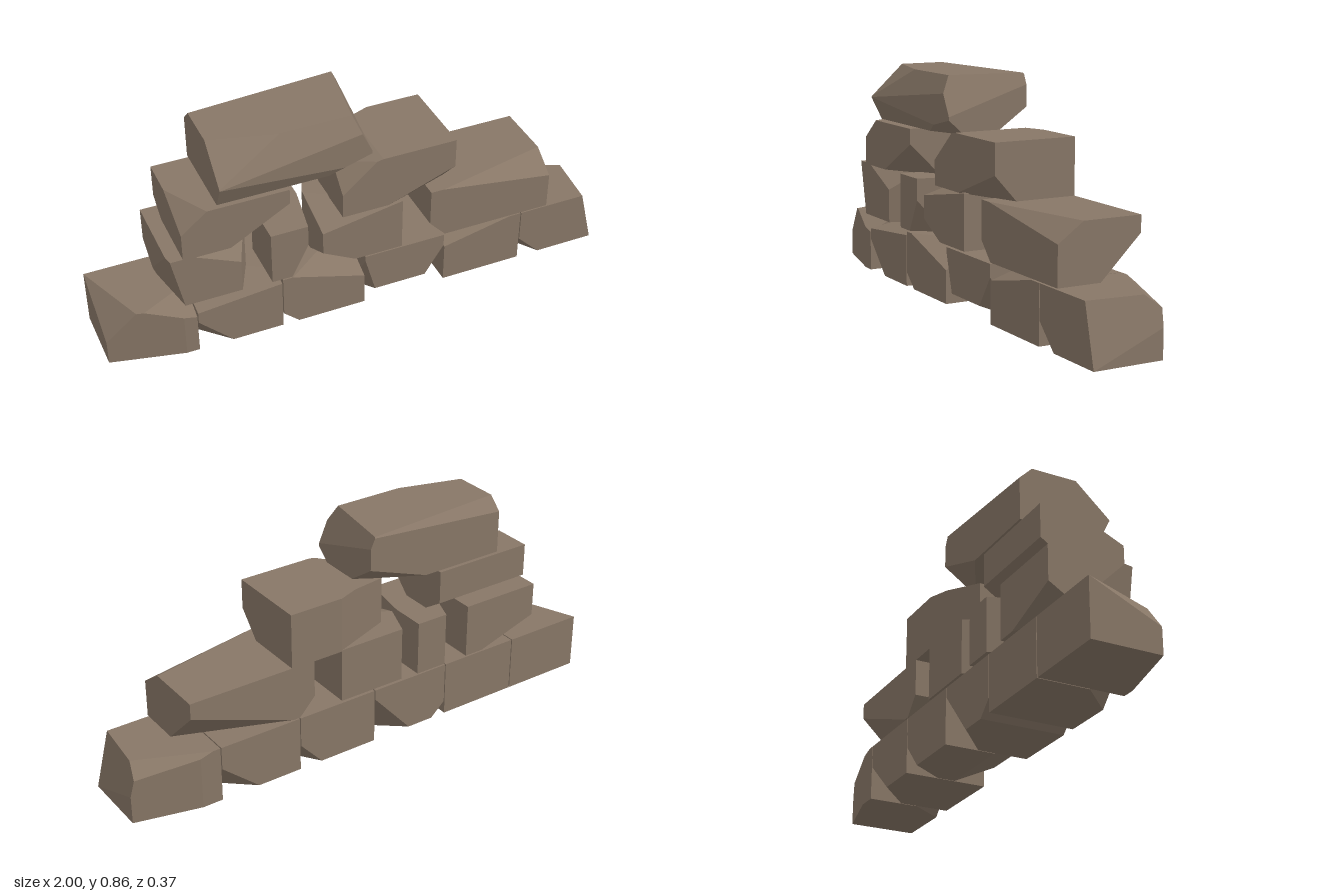
import * as THREE from 'three';
import { ConvexGeometry } from 'three/addons/geometries/ConvexGeometry.js';

const rock = new THREE.MeshStandardMaterial({ color: 0x877666 });
rock.name = 'brownRock';

// A half-space: every point p with n.p <= k
const halfSpace = (n, k) => ({ n: new THREE.Vector3(...n), k });

// Slices off a corner of a box, or an edge where a sign is '0'.
// Lengths follow the signed axes; a missing one is the usual chip size.
function chip(lo, hi, signs, ...lengths) {
  const n = [0, 0, 0];
  let k = -1;
  [...signs].forEach((sign, i) => {
    if (sign === '0') return;
    n[i] = (sign === '+' ? 1 : -1) / (lengths.shift() ?? 0.13);
    k += n[i] * (sign === '+' ? hi : lo)[i];
  });
  return halfSpace(n, k);
}

// The solid inside all planes: its corners are where three of them meet
function solidInside(planes) {
  const points = [];
  planes.forEach((A, a) => planes.slice(0, a).forEach((B, b) => planes.slice(0, b).forEach((C) => {
    const p = B.n.clone().cross(C.n);
    const det = A.n.dot(p);
    if (Math.abs(det) < 1e-5) return;
    p.multiplyScalar(A.k)
      .addScaledVector(C.n.clone().cross(A.n), B.k)
      .addScaledVector(A.n.clone().cross(B.n), C.k)
      .divideScalar(det);
    const outside = planes.some(({ n, k }) => (n.dot(p) - k) / n.length() > 1e-6);
    if (!outside && !points.some((q) => q.distanceTo(p) < 1e-4)) points.push(p);
  })));
  return new ConvexGeometry(points);
}

// One chipped stone block
function stone(name, [x0, x1], [y0, y1], [z0, z1], chips) {
  const lo = [x0, y0, z0], hi = [x1, y1, z1];
  const planes = [0, 1, 2].flatMap((axis) => {
    const n = [0, 1, 2].map((i) => (i === axis ? 1 : 0));
    return [halfSpace(n, hi[axis]), halfSpace(n.map((v) => -v), -lo[axis])];
  });
  chips.forEach((c) => planes.push(chip(lo, hi, ...c)));
  const mesh = new THREE.Mesh(solidInside(planes), rock);
  mesh.name = name;
  return mesh;
}

export function createModel() {
  const group = new THREE.Group();
  group.name = 'stonePile';
  const depth = [-0.18, 0.15];

  // Bottom course: six equal blocks with thin gaps
  const baseChips = [
    [['-++', 0.13, 0.15, 0.33], ['-0+', 0.28, 0.065], ['+++', 0.25, 0.06]],
    [['--+'], ['-++', 0.5, 0.045, 0.25]],
    [['--0', 0.06, 0.055], ['+++', 0.29, 0.09, 0.22], ['+--', 0.16, 0.18]],
    [['0-+', 0.05], ['--+', 0.055, 0.2], ['+-+', 0.11, 0.17], ['+--', 0.09, 0.1]],
    [['-++', 0.28, 0.06, 0.2], ['+--', 0.15]],
    [['+0-', 0.25, 0.06], ['+++', 0.055, 0.22, 0.54], ['--+', 0.09, 0.09], ['++-', 0.3, 0.09]],
  ];
  baseChips.forEach((chips, i) => {
    const x = -1 + i * 0.334;
    group.add(stone(`baseStone${i + 1}`, [x, x + 0.33], [0, 0.22], depth, chips));
  });

  // Second course
  const second = [0.23, 0.445];
  group.add(
    stone('secondEndStone', [-0.76, -0.43], second, [-0.185, 0.15],
      [['--+', 0.05, 0.25, 0.25], ['+0+', 0.06], ['+++', 0.24, 0.11], ['---', 0.25, 0.08]]),
    stone('secondNarrowStone', [-0.375, -0.195], second, [-0.185, 0.155],
      [['+0+', 0.035, 0.2], ['+-+', 0.1, 0.2], ['-0-', 0.05]]),
    stone('secondMiddleStone', [-0.172, 0.15], second, [-0.18, 0.155],
      [['--+', 0.13, 0.07], ['-++', 0.32, 0.055, 0.2], ['-0-', 0.05]]),
    stone('secondLongStone', [0.27, 0.78], [0.225, 0.442], depth,
      [['--0', 0.065, 0.07], ['+++', 0.46, 0.07, 0.1], ['+--', 0.42, 0.155, 0.16]]),
  );

  // Third course
  group.add(
    stone('thirdSmallStone', [-0.705, -0.295], [0.44, 0.63], depth,
      [['+-+', 0.23], ['-++', 0.1, 0.08, 0.18], ['0--', 0.06, 0.09]]),
    stone('thirdLargeStone', [-0.09, 0.365], [0.44, 0.657], depth,
      [['+-+', 0.27, 0.1, 0.09], ['-+0', 0.16, 0.027], ['-++', 0.14, 0.12], ['-0-', 0.24, 0.09]]),
  );

  // Cap stone, with a ridge along its front
  group.add(stone('capStone', [-0.565, 0.025], [0.64, 0.857], [-0.18, 0.187], [
    ['-++', 0.51, 0.125, 0.137], ['+++', 0.075, 0.16, 0.5], ['+0+', 0.59, 0.037],
    ['0++', 0.127, 0.07], ['0-+', 0.09, 0.045], ['+-+', 0.3, 0.09, 0.1],
    ['-+-', 0.62, 0.05, 0.05], ['+--', 0.25, 0.09],
  ]));
  return group;
}
